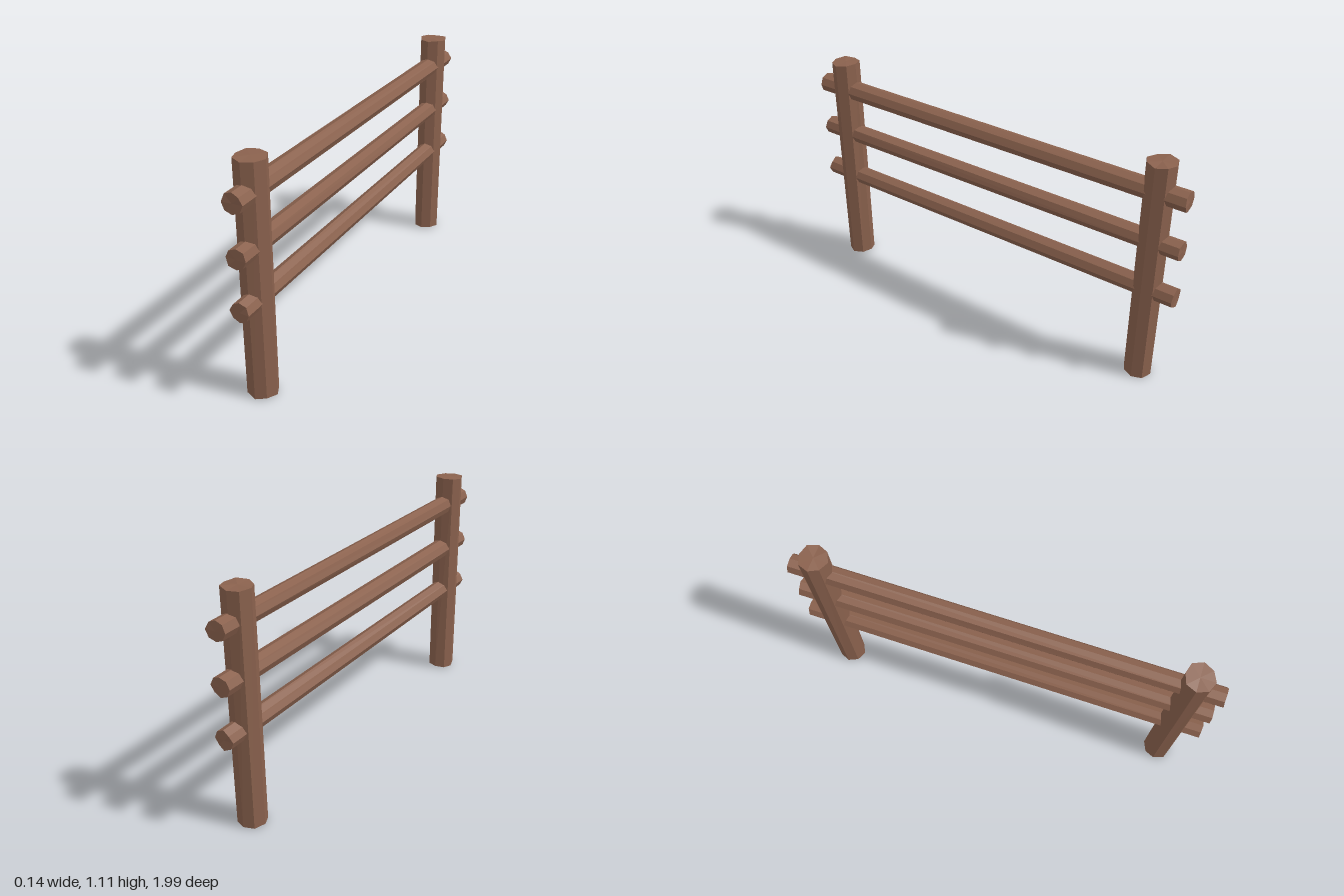
import * as THREE from 'three';

const wood = new THREE.MeshStandardMaterial({ color: 0x8b624e, flatShading: true });

// Repeatable small offset in -1..1
const wobble = (n) => {
  const s = Math.sin(n * 12.9898) * 43758.5453;
  return (s - Math.floor(s)) * 2 - 1;
};

// Eight-sided log along y with slightly uneven, hand-cut corners
function makeLog(name, radius, length, seed) {
  const geo = new THREE.CylinderGeometry(radius, radius, length, 8, 1);
  const p = geo.attributes.position;
  for (let i = 0; i < p.count; i++) {
    const x = p.getX(i), y = p.getY(i), z = p.getZ(i);
    if (Math.hypot(x, z) < radius / 2) continue; // cap centre
    const corner = (Math.round(Math.atan2(x, z) / (Math.PI / 4)) + 8) % 8;
    const side = seed * 31 + corner * 3; // shared along the log
    const end = side + (y > 0 ? 101 : 211); // differs at each end
    const k = 1 + 0.05 * wobble(side) + 0.03 * wobble(end);
    p.setXYZ(i, x * k, y + 0.004 * wobble(end + 1), z * k);
  }
  geo.computeVertexNormals();
  const mesh = new THREE.Mesh(geo, wood);
  mesh.name = name;
  return mesh;
}

export function createModel() {
  const fence = new THREE.Group();
  fence.name = 'fence';

  // Upright posts
  [['frontPost', 0.855], ['backPost', -0.855]].forEach(([name, z], i) => {
    const post = makeLog(name, 0.067, 1.1, i + 1);
    post.position.set(0, 0.554, z);
    fence.add(post);
  });

  // Rails running through both posts
  [['lowerRail', 0.48], ['middleRail', 0.722], ['upperRail', 0.962]].forEach(([name, y], i) => {
    const rail = makeLog(name, 0.046, 1.985, i + 5);
    rail.rotation.x = Math.PI / 2;
    rail.position.set(0.003, y, 0);
    fence.add(rail);
  });

  return fence;
}
